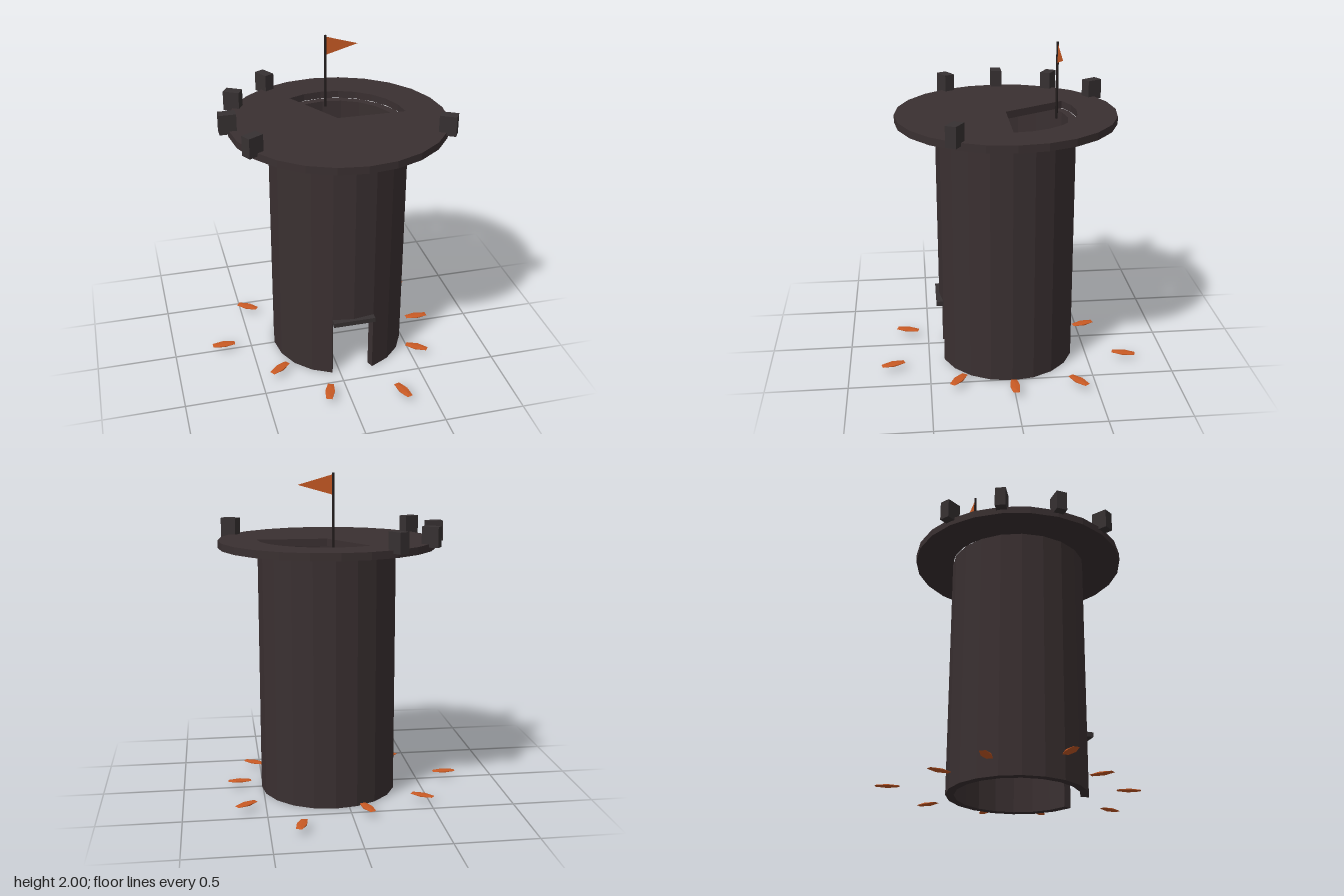
import * as THREE from 'three';

const CX = 0.083; // tower axis
const rad = THREE.MathUtils.degToRad;

function material(name, color, side = THREE.FrontSide) {
  const m = new THREE.MeshStandardMaterial({ color, side });
  m.name = name;
  return m;
}

// Points on a circle, angles in degrees counter-clockwise seen from above (90 = back)
function arc(r, start, end, steps) {
  return Array.from({ length: steps + 1 }, (_, i) => {
    const a = rad(start + ((end - start) * i) / steps);
    return new THREE.Vector2(r * Math.cos(a), r * Math.sin(a));
  });
}

// Flat outline raised vertically from y0 to y1
function slab(outline, hole, y0, y1) {
  const shape = new THREE.Shape(outline);
  if (hole) shape.holes.push(new THREE.Path(hole));
  const g = new THREE.ExtrudeGeometry(shape, { depth: y1 - y0, bevelEnabled: false });
  return g.rotateX(-Math.PI / 2).translate(0, y0, 0);
}

export function createModel() {
  const model = new THREE.Group();
  const tower = new THREE.Group();
  tower.name = 'tower';
  tower.position.x = CX;
  model.add(tower);

  const wallMat = material('dark brown stone', 0x3a3031);
  const trimMat = material('dark grey stone', 0x373132);
  const poleMat = material('black iron', 0x241e1e);
  const orange = material('burnt orange', 0xc95a24, THREE.DoubleSide);

  function add(name, geometry, mat, x = 0, y = 0, z = 0) {
    const mesh = new THREE.Mesh(geometry, mat);
    mesh.name = name;
    mesh.position.set(x, y, z);
    tower.add(mesh);
    return mesh;
  }

  // Twenty-sided hollow wall, two sides left out below for the doorway
  const R = 0.425, r = 0.375, doorTop = 0.38, wallTop = 1.54;
  add('lowerWall', slab([...arc(R, 288, 612, 18), ...arc(r, 612, 288, 18)], null, 0, doorTop), wallMat);
  add('upperWall', slab(arc(R, 0, 342, 19), arc(r, 342, 0, 19), doorTop, wallTop), wallMat);

  // Lintel over the doorway
  add('lintel', new THREE.BoxGeometry(0.264, 0.03, 0.05), trimMat, 0, 0.395, 0.421);

  // Roof platform with a 120 degree opening
  const opening = [new THREE.Vector2(0, 0), ...arc(0.427, 0, 120, 8)];
  add('platform', slab(arc(0.665, 0, 345, 23), opening, wallTop, 1.585), wallMat);

  // Remaining battlement blocks on the platform rim
  for (const deg of [120, 150, 180, 210, 330]) {
    const a = rad(deg);
    const block = add('battlement', new THREE.BoxGeometry(0.102, 0.122, 0.066), trimMat,
      0.667 * Math.cos(a), 1.627, -0.667 * Math.sin(a));
    block.rotation.y = a;
  }

  // Flagpole and pennant
  add('flagpole', new THREE.CylinderGeometry(0.008, 0.008, 0.465, 6), poleMat, 0, 1.7675, -0.305);
  const pennant = new THREE.Shape([
    new THREE.Vector2(0.004, 1.875), new THREE.Vector2(0.205, 1.932), new THREE.Vector2(0.004, 1.99),
  ]);
  add('flag', new THREE.ShapeGeometry(pennant), orange, 0, 0, -0.305);

  // Ten flattened shards hovering around the base
  const shard = new THREE.IcosahedronGeometry(1, 0).scale(0.085, 0.007, 0.035);
  for (let i = 0; i < 10; i++) {
    const a = rad(36 * i), d = 0.565 + 0.1 * (i % 3);
    add('shard', shard, orange, d * Math.cos(a), 0.046, -d * Math.sin(a)).rotation.y = a;
  }

  return model;
}
